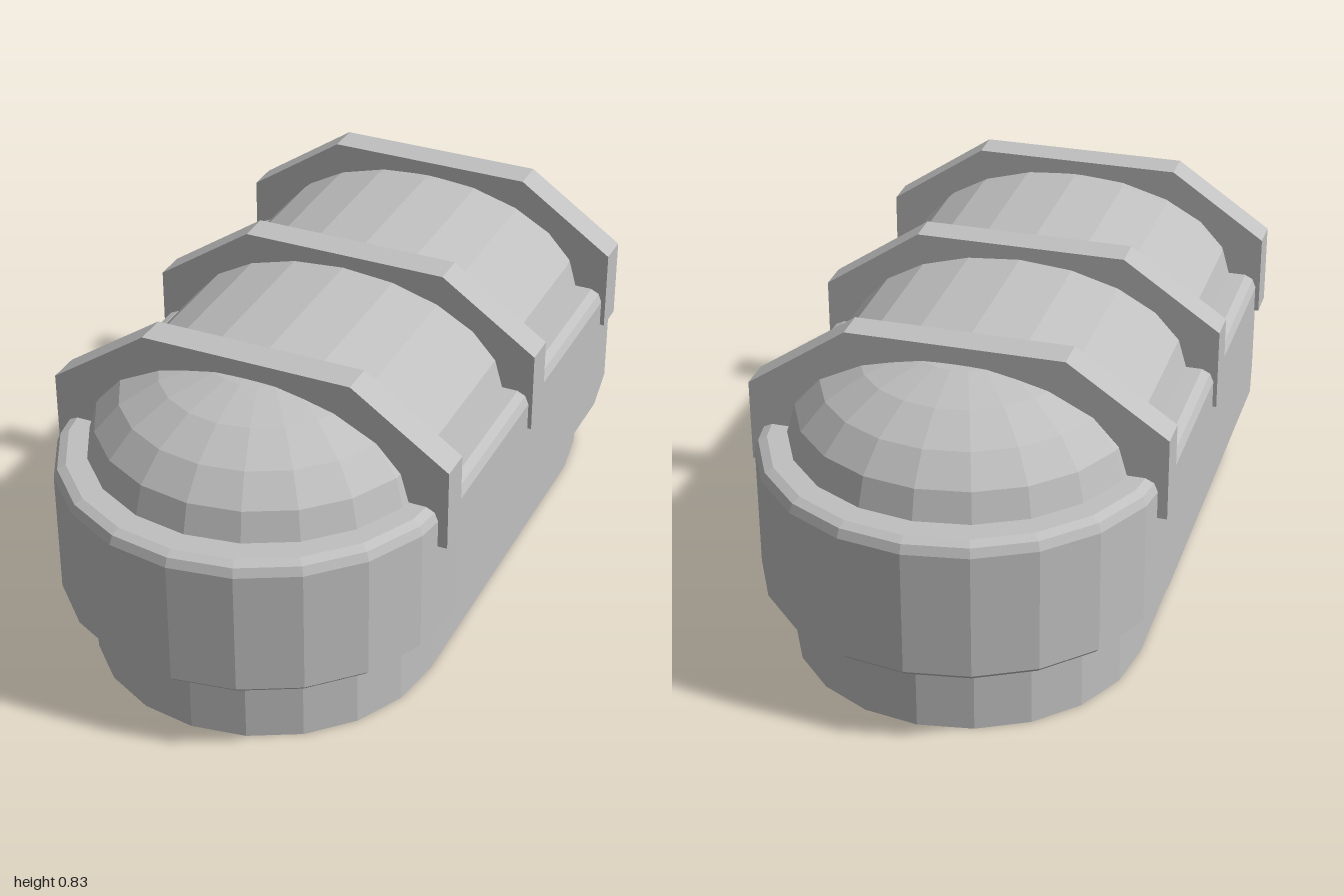
import * as THREE from 'three';

const STEPS = 10; // facets per rounded end

// Stadium outline in the xz plane, running counter-clockwise seen from above
function stadium(radius, y, centre) {
  const points = [];
  for (const side of [1, -1]) {
    for (let i = 0; i <= STEPS; i++) {
      const a = -Math.PI / 2 + (Math.PI * i) / STEPS;
      points.push([side * radius * Math.sin(a), y, side * (centre + radius * Math.cos(a))]);
    }
  }
  return points;
}

// Closed loft through stadium rings, given as [radius, y] from bottom to top
function stadiumLoft(profile, centre) {
  const rings = profile.map(([r, y]) => stadium(r, y, centre));
  const n = rings[0].length;
  const bottom = [0, profile[0][1], 0];
  const top = [0, profile[profile.length - 1][1], 0];
  const v = [];
  for (let j = 0; j < n; j++) {
    const k = (j + 1) % n;
    for (let i = 0; i < rings.length - 1; i++) {
      const lo = rings[i], hi = rings[i + 1];
      v.push(...lo[j], ...lo[k], ...hi[k], ...lo[j], ...hi[k], ...hi[j]);
    }
    const first = rings[0], last = rings[rings.length - 1];
    v.push(...bottom, ...first[k], ...first[j], ...top, ...last[j], ...last[k]);
  }
  const geometry = new THREE.BufferGeometry();
  geometry.setAttribute('position', new THREE.Float32BufferAttribute(v, 3));
  geometry.computeVertexNormals();
  return geometry;
}

export function createModel() {
  const model = new THREE.Group();
  model.name = 'bulkheadLamp';
  const grey = new THREE.MeshStandardMaterial({ color: 0xc0c0c0, flatShading: true });
  grey.name = 'grey';

  const add = (name, geometry) => {
    const mesh = new THREE.Mesh(geometry, grey);
    mesh.name = name;
    model.add(mesh);
    return mesh;
  };

  // Mounting base
  add('base', stadiumLoft([[0.433, 0], [0.433, 0.2]], 0.48));

  // Housing with a small lower chamfer and a rounded upper rim
  add('housing', stadiumLoft([
    [0.485, 0.195], [0.5, 0.21], [0.5, 0.525], [0.491, 0.547], [0.47, 0.557],
  ], 0.5));

  // Domed lens, a quarter ellipse swept round the stadium
  const dome = [];
  for (let i = 0; i <= 5; i++) {
    const a = (Math.PI / 2) * (i / 5);
    dome.push([i === 5 ? 0 : 0.43 * Math.cos(a), 0.555 + 0.24 * Math.sin(a)]);
  }
  add('lens', stadiumLoft(dome, 0.48));

  // Three guard plates with legs clasping the housing
  const half = [[0.483, 0.5], [0.483, 0.455], [0.51, 0.455], [0.51, 0.662], [0.265, 0.83]];
  const outline = [...half, ...half.map(([x, y]) => [-x, y]).reverse()];
  const shape = new THREE.Shape(outline.map(([x, y]) => new THREE.Vector2(x, y)));
  const plate = new THREE.ExtrudeGeometry(shape, { depth: 0.08, bevelEnabled: false });
  plate.translate(0, 0, -0.04);
  [['frontGuard', 0.548], ['middleGuard', 0], ['rearGuard', -0.548]].forEach(([name, z]) => {
    add(name, plate).position.z = z;
  });

  return model;
}
